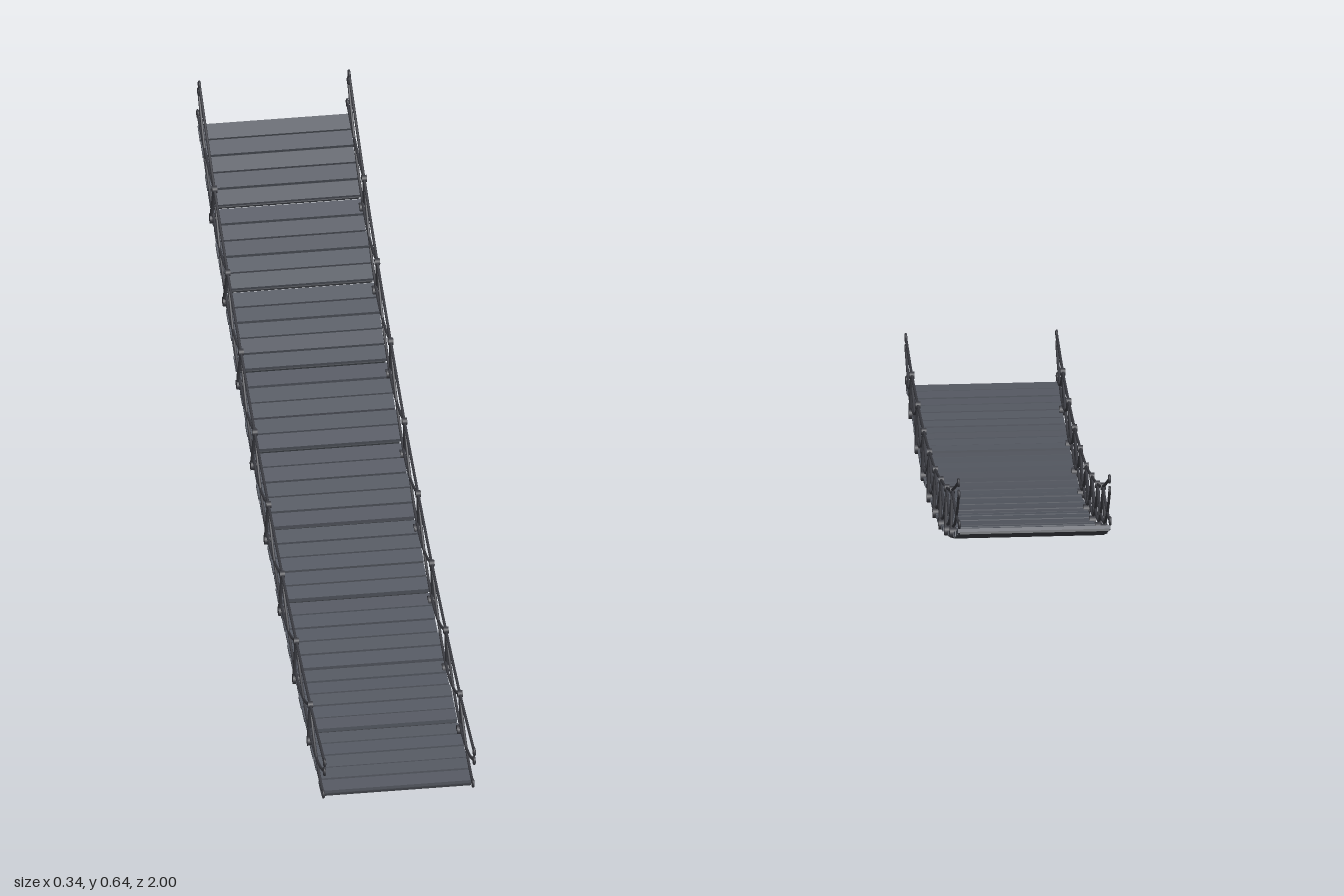
import * as THREE from 'three';

const plankMat = new THREE.MeshStandardMaterial({ color: 0x555962 });
plankMat.name = 'slate planks';
const seamMat = new THREE.MeshStandardMaterial({ color: 0x3e4147 });
seamMat.name = 'dark underside';
const ropeMat = new THREE.MeshStandardMaterial({ color: 0x3a3b41 });
ropeMat.name = 'dark rope';

const SIDE = 0.163;   // rope distance from the middle
const ROPE = 0.003;   // rope radius

// [z, y] of hanger feet and heads, front to back
const feet = [[0.767, 0.032], [0.54, 0.05], [0.316, 0.085], [0.096, 0.132],
  [-0.118, 0.19], [-0.338, 0.26], [-0.552, 0.34], [-0.756, 0.426]];
const heads = [[0.767, 0.12], [0.547, 0.147], [0.327, 0.182], [0.113, 0.228],
  [-0.1, 0.281], [-0.316, 0.352], [-0.525, 0.426], [-0.73, 0.512]];
// deck section borders [z, y of the middle of the deck]
const deck = [[0.958, 0.009], [0.73, 0.023], [0.51, 0.045], [0.285, 0.081], [0.065, 0.131],
  [-0.155, 0.193], [-0.375, 0.263], [-0.58, 0.341], [-0.785, 0.428], [-0.982, 0.525]];

const v = (x, [z, y]) => new THREE.Vector3(x, y, z);

function add(parent, name, geometry, material) {
  const mesh = new THREE.Mesh(geometry, material);
  mesh.name = name;
  parent.add(mesh);
  return mesh;
}

function rope(parent, name, points, segments, radius = ROPE) {
  const curve = new THREE.CatmullRomCurve3(points);
  return add(parent, name, new THREE.TubeGeometry(curve, segments, radius, 8), ropeMat);
}

// rope sagging from a to b, passing through mid
function swag(parent, x, a, mid, b) {
  const pts = [];
  for (let i = 0; i <= 8; i++) {
    const t = i / 8;
    const k = 4 * t * (1 - t);
    const lerp = (n) => a[n] + (b[n] - a[n]) * t + k * (mid[n] - (a[n] + b[n]) / 2);
    pts.push(v(x, [lerp(0), lerp(1)]));
  }
  rope(parent, 'swagRope', pts, 24);
}

function ring(parent, x, p) {
  const mesh = add(parent, 'endRing', new THREE.TorusGeometry(0.0075, 0.0028, 8, 16), ropeMat);
  mesh.rotation.y = Math.PI / 2;
  mesh.position.copy(v(x, p));
}

function knot(parent, name, x, p, radius, width) {
  const mesh = add(parent, name, new THREE.CylinderGeometry(radius, radius, width, 10), ropeMat);
  mesh.rotation.z = Math.PI / 2;
  mesh.position.copy(v(x, p));
}

function buildRailing(s) {
  const g = new THREE.Group();
  g.name = s > 0 ? 'leftRailing' : 'rightRailing';
  const x = s * SIDE;
  const topStart = [0.99, 0.11], topEnd = [-0.965, 0.633];
  const midStart = [0.988, 0.086], midEnd = [-0.975, 0.61];
  const lowStart = [0.97, 0.018], lowEnd = [-0.99, 0.545];

  // handrail
  rope(g, 'handRope', [topStart, ...heads, topEnd].map((p) => v(x, p)), 60);

  // overlapping swags, each two bays long
  const anchors = [midStart, ...heads, midEnd];
  feet.forEach((f, i) => swag(g, x, anchors[i], [f[0], f[1] + 0.012], anchors[i + 2]));
  // half swags at both ends
  swag(g, x, lowStart, [0.86, 0.048], heads[0]);
  swag(g, x, heads[7], [-0.86, 0.516], lowEnd);

  for (const p of [topStart, topEnd, midStart, midEnd, lowStart, lowEnd]) ring(g, x, p);

  // hangers with their knots
  feet.forEach((f, i) => {
    rope(g, 'hangerRope', [v(x, heads[i]), v(s * 0.167, f)], 2, 0.0038);
    knot(g, 'headKnot', x, heads[i], 0.008, 0.011);
    knot(g, 'footKnot', s * 0.163, [f[0], f[1] - 0.003], 0.011, 0.014);
  });
  return g;
}

function buildDeck() {
  const g = new THREE.Group();
  g.name = 'deck';
  const count = 5;
  for (let i = 0; i < deck.length - 1; i++) {
    const [z0, y0] = deck[i], [z1, y1] = deck[i + 1];
    const section = new THREE.Group();
    section.name = 'deckSection';
    section.position.set(0, (y0 + y1) / 2, (z0 + z1) / 2);
    section.rotation.x = Math.atan2(y1 - y0, z0 - z1);
    g.add(section);
    const length = Math.hypot(z1 - z0, y1 - y0) - 0.007;
    // backing below the planks closes the seams
    add(section, 'backing', new THREE.BoxGeometry(0.322, 0.005, length), seamMat)
      .position.y = -0.004;
    const pitch = length / count;
    for (let j = 0; j < count; j++) {
      const width = 0.326 + ((i + j * 2) % 3) * 0.002;
      const plank = add(section, 'plank', new THREE.BoxGeometry(width, 0.009, pitch - 0.005), plankMat);
      plank.position.set(0, 0.001 + ((i + j) % 2) * 0.001, (j + 0.5) * pitch - length / 2);
      plank.rotation.x = (((i * 3 + j * 2) % 5) - 2) * 0.015;
    }
  }
  return g;
}

export function createModel() {
  const model = new THREE.Group();
  model.name = 'ropeBridge';
  model.add(buildDeck(), buildRailing(1), buildRailing(-1));
  return model;
}
